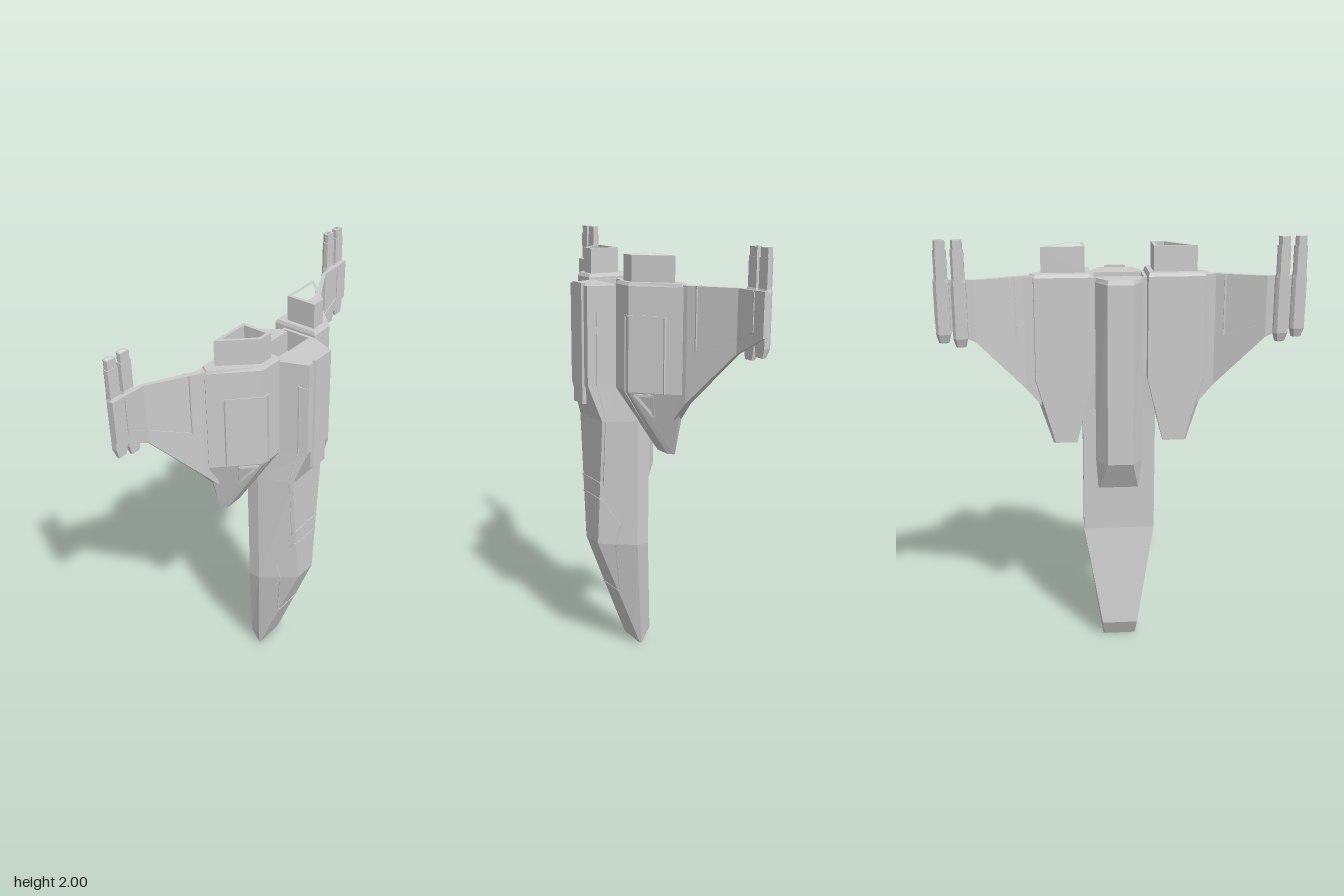
import * as THREE from 'three';

const mat = new THREE.MeshStandardMaterial({ color: 0xcccccc, flatShading: true });
const lerp = THREE.MathUtils.lerp;

export function createModel() {
  const root = new THREE.Group();

  const add = (name, geometry) => {
    const m = new THREE.Mesh(geometry, mat);
    m.name = name;
    root.add(m);
    return m;
  };

  // Skin a list of equal-length convex rings of [x, y, z], capped at both ends
  const loft = (name, rings) => {
    const tris = [], n = rings[0].length;
    for (let r = 0; r < rings.length - 1; r++) {
      for (let i = 0; i < n; i++) {
        const j = (i + 1) % n, a = rings[r], b = rings[r + 1];
        tris.push([a[i], a[j], b[j]], [a[i], b[j], b[i]]);
      }
    }
    const first = rings[0], last = rings[rings.length - 1];
    for (let i = 1; i < n - 1; i++) {
      tris.push([first[0], first[i + 1], first[i]], [last[0], last[i], last[i + 1]]);
    }
    // Signed volume tells whether the faces point outward
    const V = p => new THREE.Vector3(...p);
    const volume = tris.reduce((s, [a, b, c]) => s + V(a).dot(V(b).cross(V(c))), 0);
    const out = tris.flatMap(([a, b, c]) => (volume > 0 ? [a, b, c] : [a, c, b])).flat();
    const g = new THREE.BufferGeometry();
    g.setAttribute('position', new THREE.Float32BufferAttribute(out, 3));
    g.computeVertexNormals();
    return add(name, g);
  };

  // Upright tube: an [x, z] outline with an [x, z] hole, from y0 to y1
  const rim = (name, outline, hole, y0, y1) => {
    const pts = list => list.map(([x, z]) => new THREE.Vector2(x, -z));
    const shape = new THREE.Shape(pts(outline));
    shape.holes.push(new THREE.Path(pts(hole)));
    const g = new THREE.ExtrudeGeometry(shape, { depth: y1 - y0, bevelEnabled: false });
    return add(name, g.rotateX(-Math.PI / 2).translate(0, y0, 0));
  };

  // Thin raised strips following a polyline
  const seam = (name, pts, size = 0.008) => {
    for (let i = 0; i < pts.length - 1; i++) {
      const a = new THREE.Vector3(...pts[i]), b = new THREE.Vector3(...pts[i + 1]);
      const m = add(name, new THREE.BoxGeometry(size, size, a.distanceTo(b) + size * 0.5));
      m.position.copy(a).add(b).multiplyScalar(0.5);
      m.lookAt(b);
    }
  };

  // Fuselage stations: y, front half-width, front z, side half-width, side z, back half-width, back z
  const stations = [
    [0, 0.075, -0.05, 0.08, -0.056, 0.075, -0.062],
    [0.08, 0.077, -0.018, 0.093, -0.045, 0.085, -0.1],
    [0.57, 0.06, 0.175, 0.17, 0.02, 0.17, -0.037],
    [1.18, 0.11, 0.175, 0.17, 0.02, 0.17, -0.04],
    [1.35, 0.08, 0.232, 0.13, 0.11, 0.13, -0.05],
    [1.7, 0.08, 0.232, 0.13, 0.11, 0.125, -0.05],
  ];
  const hex = ([, f, fz, w, wz, b, bz]) =>
    [[f, fz], [w, wz], [b, bz], [-b, bz], [-w, wz], [-f, fz]];
  loft('fuselage', stations.map(st => hex(st).map(([x, z]) => [x, st[0], z])));
  rim('fuselageTopRim', hex(stations[5]),
    [[-0.112, -0.04], [0.112, -0.04], [0.112, 0.09], [-0.112, 0.09]], 1.7, 1.8);

  // Point on the slanted fuselage cheek, t running from front edge to side edge
  const cheek = (s, y, t) => {
    let i = 0;
    while (i < stations.length - 2 && y > stations[i + 1][0]) i++;
    const a = stations[i], b = stations[i + 1], k = (y - a[0]) / (b[0] - a[0]);
    const [, f, fz, w, wz] = a.map((v, j) => lerp(v, b[j], k));
    return [s * lerp(f, w, t), y, lerp(fz, wz, t)];
  };

  // Raised strip on the front
  loft('frontStrip', [1.26, 1.81].map(y =>
    [[0.05, y, 0.225], [0.042, y, 0.241], [-0.042, y, 0.241], [-0.05, y, 0.225]]));

  // Keel along the back with a slanted lower end
  loft('backSpine', [[0.79, 0.1, -0.05, 0.09, -0.056], [0.93, 0.11, -0.05, 0.06, -0.127],
    [1.78, 0.11, -0.05, 0.06, -0.135], [1.8, 0.105, -0.05, 0.055, -0.128]].map(([y, w, z0, b, z1]) =>
    [[w, y, -0.02], [w, y, z0], [b, y, z1], [-b, y, z1], [-w, y, z0], [-w, y, -0.02]]));

  // Cross panel lines on the fuselage front
  for (const [y, t] of [[0.31, 0.1], [0.8, 0.05], [0.88, 0]]) {
    seam('panelLine', [cheek(-1, y, t), cheek(-1, y, 0), cheek(1, y, 0), cheek(1, y, t)], 0.006);
  }

  for (const s of [1, -1]) {
    const mx = pts => pts.map(([x, ...rest]) => [s * x, ...rest]);

    // Fuselage panel lines
    seam('panelLine', [[0.31, 0.1], [0.57, 0.45], [0.67, 0.55], [0.8, 0.05]].map(p => cheek(s, ...p)), 0.006);
    seam('panelLine', [[0.88, 0], [0.86, 0.1], [1.18, 0.1], [1.35, 0.33], [1.69, 0.33], [1.68, 0.05]]
      .map(p => cheek(s, ...p)), 0.006);

    // Engine nacelle: five-sided body tapering to a chisel tip
    const body = [[0.127, -0.1], [0.385, -0.1], [0.41, -0.06], [0.24, 0.113], [0.127, 0.113]];
    const tip = [[0.2, -0.1], [0.3, -0.1], [0.31, -0.09], [0.285, -0.067], [0.2, -0.067]];
    const lip = body.map(([x, z]) => [lerp(x, 0.24, 0.05), lerp(z, 0, 0.07)]);
    loft('engineNacelle', [[tip, 1.04], [body, 1.34], [body, 1.81], [lip, 1.825]]
      .map(([ring, y]) => mx(ring.map(([x, z]) => [x, y, z]))));

    // Hollow exhaust on top of the nacelle
    rim('exhaust',
      mx([[0.155, -0.055], [0.352, -0.055], [0.222, 0.088], [0.155, 0.088]]),
      mx([[0.17, -0.04], [0.32, -0.04], [0.215, 0.073], [0.17, 0.073]]), 1.82, 1.94);

    // Nacelle panel lines and triangular intake frame on the lower facet
    seam('nacellePanelLine', mx([[0.21, 1.15, -0.005], [0.21, 1.34, 0.113], [0.21, 1.68, 0.113],
      [0.24, 1.68, 0.113], [0.355, 1.68, -0.004], [0.355, 1.34, -0.004]]));
    const facet = (u, v) => [0, 1].map(i =>
      lerp(lerp(body[3][i], tip[3][i], v), lerp(body[2][i], tip[2][i], v), u));
    seam('intakeFrame', mx([[0.1, 0.04], [0.43, 0.04], [0.3, 0.38], [0.1, 0.04]].map(([u, v]) => {
      const [x, z] = facet(u, v);
      return [x, lerp(1.34, 1.04, v), z];
    })), 0.012);

    // Swept wing: x, top y, bottom y, front z, back z
    const ribs = [
      [0.36, 1.815, 1.22, -0.05, -0.095],
      [0.43, 1.82, 1.305, -0.068, -0.098],
      [0.64, 1.825, 1.55, -0.182, -0.2],
      [0.74, 1.827, 1.6, -0.185, -0.203],
      [0.815, 1.83, 1.64, -0.185, -0.203],
    ];
    loft('wing', ribs.map(([x, t, b, f, k]) => mx([[x, t, f], [x, t, k], [x, b, k], [x, b, f]])));

    // Wing panel outline on both faces
    for (const [zIn, zKink, zOut] of [[-0.09, -0.182, -0.185], [-0.117, -0.2, -0.203]]) {
      seam('wingPanelLine', mx([[0.47, 1.82, zIn], [0.47, 1.54, zIn], [0.64, 1.61, zKink],
        [0.745, 1.66, zOut], [0.745, 1.82, zOut]]));
    }

    // Twin cannons behind the wing tip, with hollow muzzles
    for (const [x, low] of [[0.705, 1.535], [0.778, 1.555]]) {
      const arch = (w, f, b) => [[x - w, f], [x + w, f], [x + w, b + 0.014],
        [x + w * 0.6, b], [x - w * 0.6, b], [x - w, b + 0.014]];
      loft('cannon', [[low, 0.022, -0.196, -0.222], [low + 0.04, 0.032, -0.196, -0.236],
        [1.82, 0.032, -0.196, -0.236], [1.835, 0.028, -0.202, -0.236], [1.96, 0.028, -0.202, -0.236]]
        .map(([y, w, f, b]) => mx(arch(w, f, b).map(([px, pz]) => [px, y, pz]))));
      rim('muzzle', mx(arch(0.024, -0.204, -0.235)), mx(arch(0.015, -0.211, -0.228)), 1.96, 2);
    }
  }
  return root;
}
